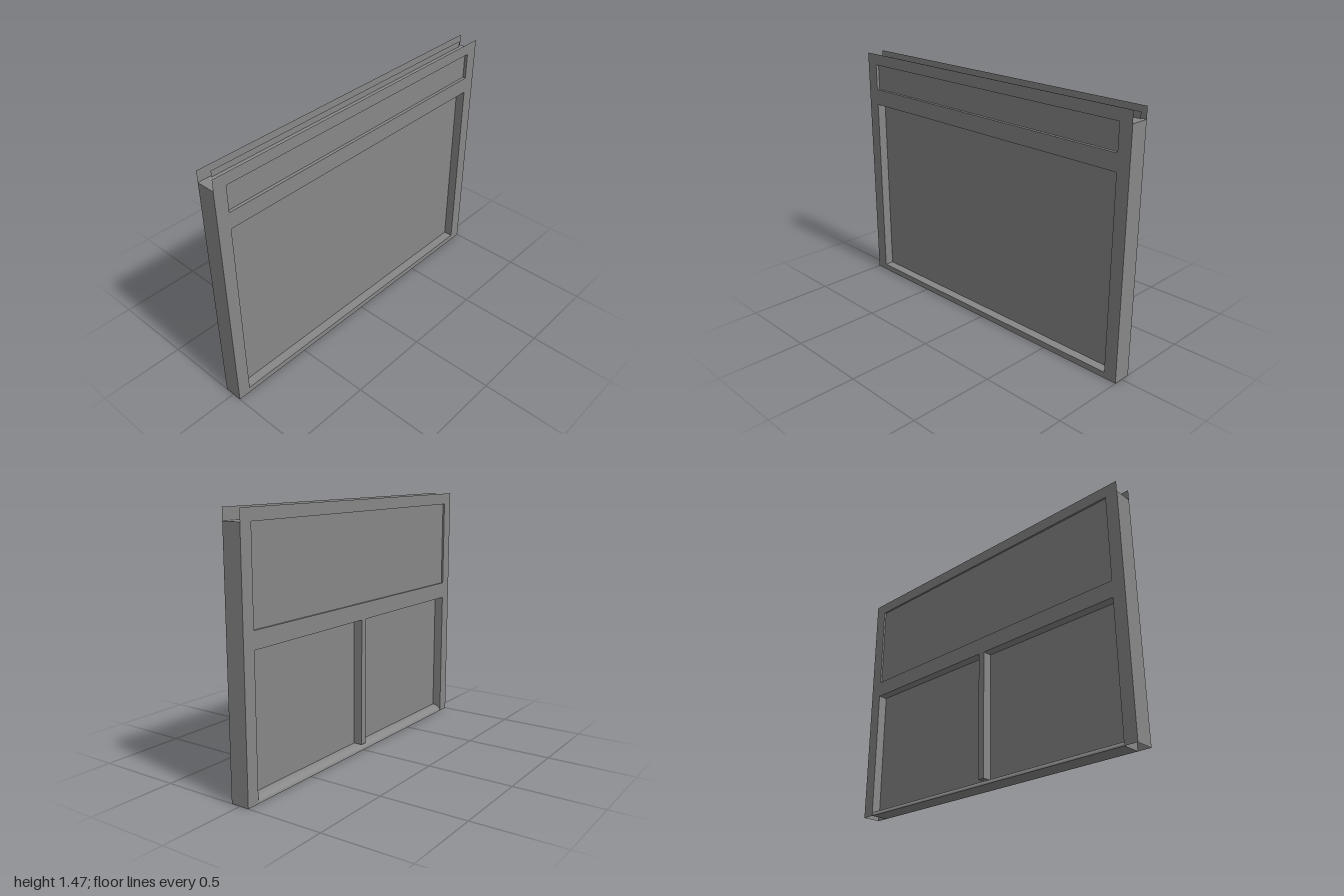
import * as THREE from 'three';
import { mergeGeometries } from 'three/addons/utils/BufferGeometryUtils.js';

const HALF_DEPTH = 0.055, TOP = 1.465, BODY_TOP = 1.4, INNER = 0.925;
const SILL = 0.037, MULLION = 0.02, LOWER_BACK_TOP = 0.785;

const rectangle = (l, r, b, t) => [[l, b], [r, b], [r, t], [l, t]];
const closed = (points) => [...points, points[0]];
const vectors = (points) => points.map(([x, y]) => new THREE.Vector2(x, y));

const frontLower = rectangle(-INNER, INNER, 0.035, 1.147);
const frontUpper = rectangle(-INNER, INNER, 1.243, 1.398);
const backUpper = rectangle(-INNER, INNER, 0.882, 1.398);

// edge of the two lower back openings, which are open down to the sill
const backLower = [
  [-INNER, 0], [-INNER, LOWER_BACK_TOP], [-MULLION, LOWER_BACK_TOP], [-MULLION, SILL],
  [MULLION, SILL], [MULLION, LOWER_BACK_TOP], [INNER, LOWER_BACK_TOP], [INNER, 0],
];

export function createModel() {
  const group = new THREE.Group();
  const material = new THREE.MeshStandardMaterial({ color: 0x878787, side: THREE.DoubleSide });

  const add = (name, geometry) => {
    const mesh = new THREE.Mesh(geometry, material);
    mesh.name = name;
    group.add(mesh);
  };

  // thin upright sheet with optional openings
  const sheet = (name, outline, z, holes = []) => {
    const shape = new THREE.Shape(vectors(outline));
    shape.holes = holes.map((hole) => new THREE.Path(vectors(hole)));
    add(name, new THREE.ShapeGeometry(shape).translate(0, 0, z));
  };

  // flat strips following a path, running from depth z0 to z1
  const strip = (name, path, z0, z1) => {
    const parts = path.slice(1).map(([x, y], i) => {
      const [px, py] = path[i];
      return new THREE.PlaneGeometry(Math.hypot(x - px, y - py), Math.abs(z1 - z0))
        .rotateX(-Math.PI / 2)
        .rotateZ(Math.atan2(y - py, x - px))
        .translate((x + px) / 2, (y + py) / 2, (z0 + z1) / 2);
    });
    add(name, mergeGeometries(parts));
  };

  // front and back faces
  sheet('frontFrame', rectangle(-1, 1, 0, TOP), HALF_DEPTH, [frontLower, frontUpper]);
  sheet('backFrame', [[-1, 0], ...backLower, [1, 0], [1, TOP], [-1, TOP]], -HALF_DEPTH, [backUpper]);

  // linings of the openings
  strip('frontLowerReveal', closed(frontLower), 0, HALF_DEPTH);
  strip('frontUpperReveal', closed(frontUpper), 0.037, HALF_DEPTH);
  strip('backUpperReveal', closed(backUpper), -HALF_DEPTH, -0.044);
  strip('backLowerReveal', backLower, -HALF_DEPTH, 0);

  // recessed panes; the lower one is shared by both faces
  sheet('lowerPane', rectangle(-INNER, INNER, 0.035, 1.147), 0);
  sheet('upperFrontPane', frontUpper, 0.037);
  sheet('upperBackPane', rectangle(-0.93, 0.975, 0.86, 1.435), -0.044);

  // sides and sunken top, stopping below the upper edge of the faces
  strip('sidesAndTop', [[1, 0], [1, BODY_TOP], [-1, BODY_TOP], [-1, 0]], -HALF_DEPTH, HALF_DEPTH);

  // underside between the open-ended jambs, and the ends of the front rail
  strip('underside', [[INNER, 0], [-INNER, 0]], -HALF_DEPTH, HALF_DEPTH);
  for (const x of [-INNER, INNER]) strip('railEnd', [[x, 0], [x, 0.035]], 0, HALF_DEPTH);

  // rounded sill along the back
  add('backSill', new THREE.CylinderGeometry(1, 1, INNER * 2, 12, 1, true, Math.PI / 2, Math.PI / 2)
    .rotateZ(Math.PI / 2)
    .scale(1, SILL, HALF_DEPTH));

  return group;
}
